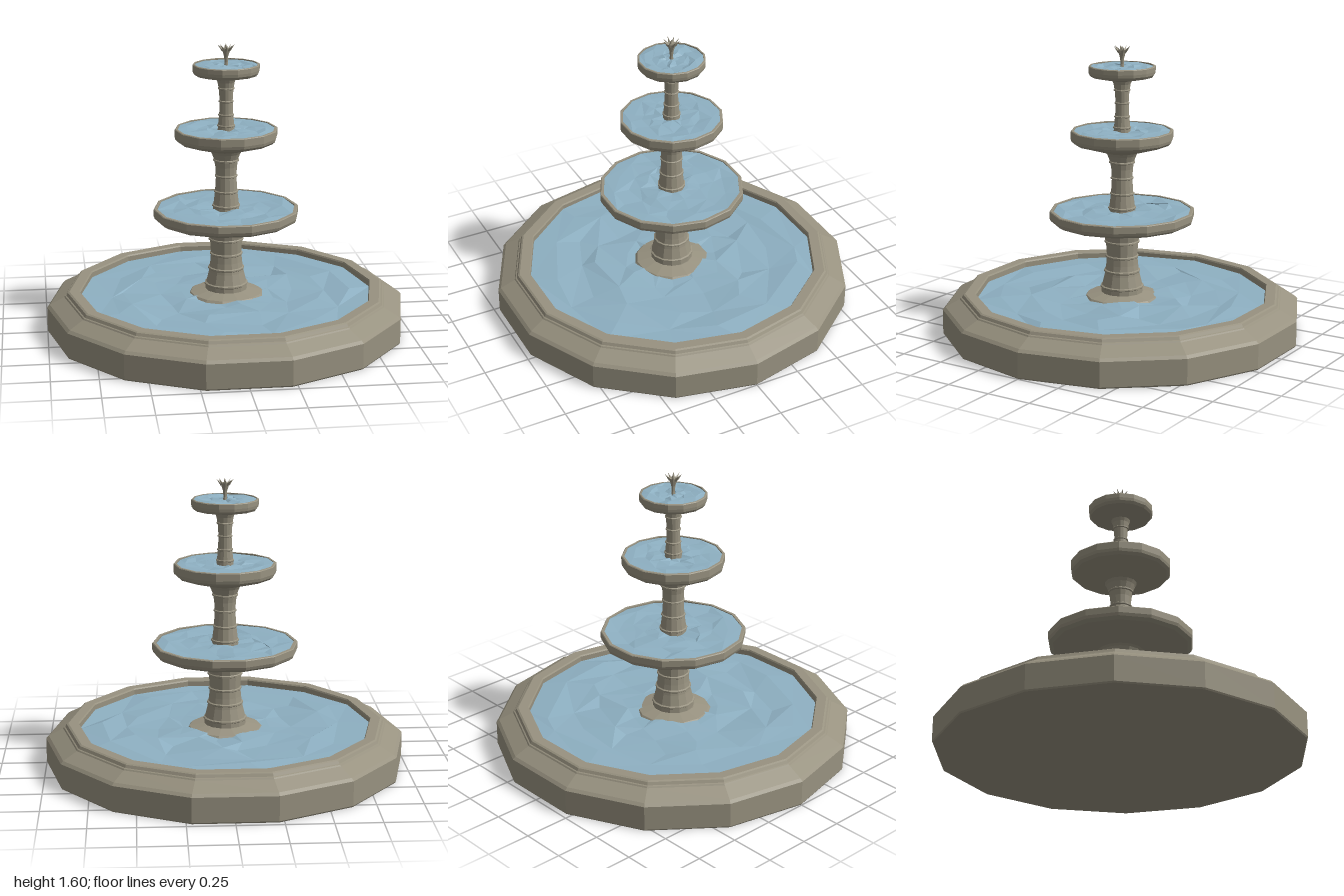
import * as THREE from 'three';

const SIDES = 14;
const stone = new THREE.MeshStandardMaterial({ color: 0x989280, flatShading: true });
const water = new THREE.MeshStandardMaterial({ color: 0x8eb0c2, flatShading: true, side: THREE.DoubleSide });

// Seeded noise for the ripples
let seed = 7;
const jitter = (a) => {
  seed = (seed * 16807) % 2147483647;
  return (seed / 2147483647 * 2 - 1) * a;
};

function add(group, name, geometry, material) {
  const mesh = new THREE.Mesh(geometry, material);
  mesh.name = name;
  group.add(mesh);
  return mesh;
}

// Faceted turned part with a corner on the x axis; points are [radius, y]
function turned(points, sides = SIDES) {
  return new THREE.LatheGeometry(points.map(([r, y]) => new THREE.Vector2(r, y)), sides, Math.PI / 2);
}

// Rippled disc: concentric rings with shifted vertices, fixed at the edge
function waterDisc(radius, y, rings, wave) {
  const pos = [0, y, 0], index = [];
  for (let i = 1; i <= rings; i++) {
    const edge = i === rings, step = radius / rings;
    for (let k = 0; k < SIDES; k++) {
      const r = i * step + (edge ? 0 : jitter(step * 0.3));
      const a = k / SIDES * Math.PI * 2 + (edge ? 0 : jitter(0.14));
      pos.push(Math.cos(a) * r, y + jitter(wave) * (edge ? 0.4 : 1), Math.sin(a) * r);
    }
  }
  const at = (i, k) => 1 + (i - 1) * SIDES + (k % SIDES);
  for (let k = 0; k < SIDES; k++) {
    index.push(0, at(1, k + 1), at(1, k));
    for (let i = 1; i < rings; i++) {
      const a = at(i, k), b = at(i, k + 1), c = at(i + 1, k), d = at(i + 1, k + 1);
      if ((i + k) % 2) index.push(a, b, c, b, d, c);
      else index.push(a, d, c, a, b, d);
    }
  }
  const g = new THREE.BufferGeometry();
  g.setAttribute('position', new THREE.Float32BufferAttribute(pos, 3));
  g.setIndex(index);
  g.computeVertexNormals();
  return g;
}

// Column profile with a raised band at each listed height
function columnGeometry(profile, bands, t) {
  const radiusAt = (y) => {
    const i = Math.max(1, profile.findIndex((p) => p[1] >= y));
    const [r0, y0] = profile[i - 1], [r1, y1] = profile[i];
    return r0 + (r1 - r0) * (y - y0) / (y1 - y0);
  };
  const points = profile.filter(([, y]) => bands.every((b) => Math.abs(y - b) > t * 1.2));
  for (const b of bands) {
    points.push([radiusAt(b - t), b - t], [radiusAt(b) + t * 0.8, b - t * 0.5],
      [radiusAt(b) + t * 0.8, b + t * 0.5], [radiusAt(b + t), b + t]);
  }
  return turned(points.sort((p, q) => p[1] - q[1]));
}

export function createModel() {
  const model = new THREE.Group();
  model.name = 'fountain';

  // Ground pool
  add(model, 'poolBasin', turned([
    [0, 0], [0.995, 0], [1, 0.008], [1, 0.143], [0.985, 0.158], [0.905, 0.2], [0.9, 0.207],
    [0.893, 0.21], [0.885, 0.225], [0.875, 0.23], [0.82, 0.23], [0.815, 0.222], [0.815, 0.15], [0, 0.15],
  ]), stone);
  add(model, 'poolWater', waterDisc(0.816, 0.197, 6, 0.014), water);
  add(model, 'columnFooting', turned([[0.23, 0.17], [0.2, 0.203], [0.12, 0.22], [0, 0.22]]), stone);

  // Three tiers: column below, bowl and water above
  const tiers = [
    {
      name: 'lower', r: 0.403, top: 0.688, wall: 0.637, under: 0.595, neck: 0.135, t: 0.008,
      column: [[0.117, 0.19], [0.115, 0.25], [0.098, 0.32], [0.089, 0.38], [0.085, 0.43],
        [0.09, 0.5], [0.1, 0.55], [0.118, 0.585], [0.135, 0.6]],
      bands: [0.252, 0.342, 0.424, 0.508],
    },
    {
      name: 'middle', r: 0.283, top: 1.135, wall: 1.08, under: 1.012, neck: 0.092, t: 0.007,
      column: [[0.075, 0.66], [0.072, 0.7], [0.062, 0.78], [0.057, 0.86], [0.06, 0.92],
        [0.068, 0.965], [0.08, 0.995], [0.092, 1.015]],
      bands: [0.7, 0.78, 0.868, 0.957],
    },
    {
      name: 'upper', r: 0.184, top: 1.49, wall: 1.45, under: 1.408, neck: 0.055, t: 0.006,
      column: [[0.048, 1.11], [0.045, 1.15], [0.038, 1.22], [0.036, 1.29], [0.04, 1.35],
        [0.047, 1.39], [0.055, 1.41]],
      bands: [1.15, 1.21, 1.285, 1.356],
    },
  ];
  for (const { name, r, top, wall, under, neck, t, column, bands } of tiers) {
    const tier = new THREE.Group();
    tier.name = name + 'Tier';
    add(tier, name + 'Column', columnGeometry(column, bands, t), stone);
    const lip = r * 0.04 + 0.004;
    add(tier, name + 'Bowl', turned([
      [0, under], [neck, under], [r * 0.93, wall - 0.018], [r * 0.985, wall - 0.004], [r, wall + 0.012],
      [r, top - 0.004], [r - 0.004, top], [r - lip, top], [r - lip, top - 0.025], [0, top - 0.025],
    ]), stone);
    add(tier, name + 'Water', waterDisc(r - lip, top - 0.005, 5, 0.008), water);
    model.add(tier);
  }

  // Finial: flared stem crowned by a ring of pointed petals
  const finial = new THREE.Group();
  finial.name = 'finial';
  add(finial, 'finialStem', turned([
    [0.014, 1.46], [0.009, 1.5], [0.011, 1.53], [0.02, 1.56], [0.026, 1.575], [0, 1.57],
  ], 8), stone);
  for (let k = 0; k < 8; k++) {
    const petal = new THREE.Group();
    petal.name = 'petal';
    petal.rotation.y = k * Math.PI / 4;
    const tip = add(petal, 'petalTip', new THREE.ConeGeometry(0.009, 0.042, 4), stone);
    tip.position.set(0.031, 1.58, 0);
    tip.rotation.z = -0.75;
    finial.add(petal);
  }
  add(finial, 'finialBud', new THREE.ConeGeometry(0.012, 0.03, 8), stone).position.y = 1.583;
  model.add(finial);

  return model;
}
